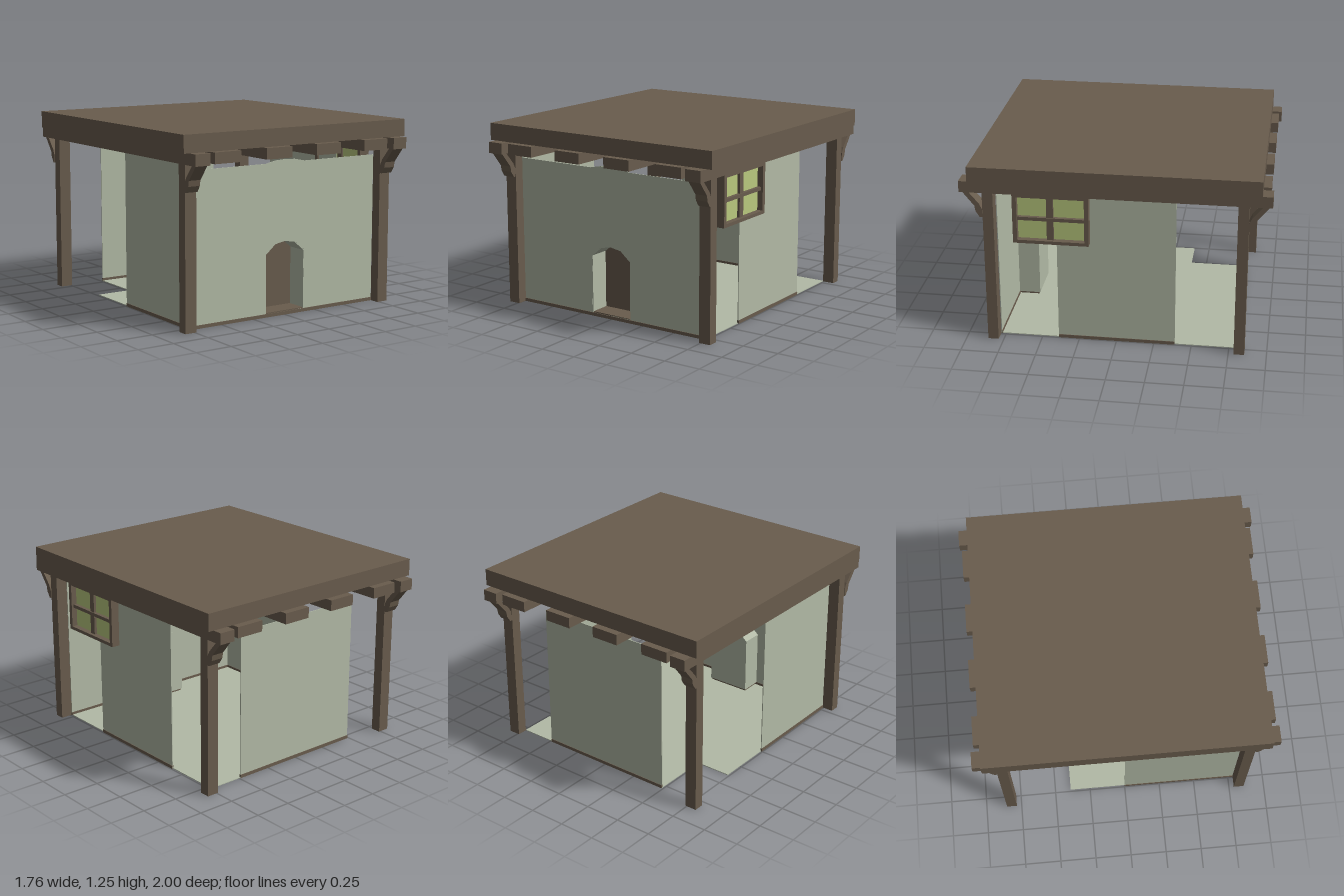
import * as THREE from 'three';

export function createModel() {
  const model = new THREE.Group();
  const mat = (name, color) => new THREE.MeshStandardMaterial({ name, color });
  const wood = mat('dark wood', 0x695c4d);
  const plaster = mat('sage plaster', 0xb2baa6);
  const glass = mat('yellow green glass', 0xbac97e);
  plaster.side = THREE.DoubleSide;

  const add = (name, geometry, material) => {
    const mesh = new THREE.Mesh(geometry, material);
    mesh.name = name;
    model.add(mesh);
    return mesh;
  };
  // Box given by its limits on each axis
  const box = (name, material, [x0, x1], [y0, y1], [z0, z1]) =>
    add(name, new THREE.BoxGeometry(x1 - x0, y1 - y0, z1 - z0), material)
      .position.set((x0 + x1) / 2, (y0 + y1) / 2, (z0 + z1) / 2);
  const shapeOf = (points) => new THREE.Shape(points.map(([x, y]) => new THREE.Vector2(x, y)));
  const extrude = (shape, depth) => new THREE.ExtrudeGeometry(shape, { depth, bevelEnabled: false });
  // Faceted arch outline, shrunk by an inset
  const arch = (i = 0) => {
    const w = 0.157 - i, h = 0.08 - i * 0.5;
    return [[-w, 0.02 + i], [w, 0.02 + i], [w, 0.418 - i * 0.5], [h, 0.483 - i],
      [0, 0.497 - i], [-h, 0.483 - i], [-w, 0.418 - i * 0.5]];
  };

  // Roof slab and rafters
  box('roof', wood, [-0.88, 0.88], [1.14, 1.255], [-0.935, 0.935]);
  for (const x of [-0.59, -0.197, 0.197, 0.59])
    box('rafter', wood, [x - 0.098, x + 0.098], [1.068, 1.14], [-0.983, 0.983]);

  // Side beams, posts and curved brackets
  const bracket = shapeOf([[0.985, 1.067], [0.945, 1.067], [0.875, 0.985], [0.855, 0.945],
    [0.855, 0.89], [0.872, 0.89], [0.898, 0.93], [0.905, 0.968]]);
  for (const sx of [-1, 1]) {
    const x = sx * 0.785;
    box('sideBeam', wood, [x - 0.055, x + 0.055], [1.065, 1.14], [-1, 1]);
    for (const sz of [-1, 1]) {
      const px = sx * 0.78, pz = sz * 0.82;
      box('post', wood, [px - 0.041, px + 0.041], [0, 1.066], [pz - 0.035, pz + 0.035]);
      const g = extrude(bracket, 0.085);
      g.translate(0, 0, -0.0425);
      g.rotateY(-sz * Math.PI / 2);
      add('bracket', g, wood).position.x = sx * 0.783;
    }
  }

  // Floor with one back corner cut away
  const floor = extrude(shapeOf([[-0.738, -0.78], [0.738, -0.78], [0.738, 0.785],
    [-0.49, 0.785], [-0.49, 0.39], [-0.738, 0.39]]), 0.005);
  floor.rotateX(-Math.PI / 2);
  add('floor', floor, plaster);

  // Front wall with arched opening and a low rise in its top edge
  const front = shapeOf([[-0.74, 0.004], [0.74, 0.004], [0.74, 1.01], [0.157, 1.01],
    [0.08, 1.026], [0, 1.031], [-0.08, 1.026], [-0.157, 1.01], [-0.74, 1.01]]);
  front.holes.push(shapeOf(arch()));
  add('frontWall', extrude(front, 0.005), plaster).position.z = 0.778;

  // Arched niche behind the opening
  const shell = shapeOf(arch());
  shell.holes.push(shapeOf(arch(0.005)));
  add('nicheShell', extrude(shell, 0.148), plaster).position.z = 0.634;
  add('nicheBack', extrude(shapeOf(arch()), 0.004), plaster).position.z = 0.631;
  add('nichePanel', extrude(shapeOf(arch(0.006)), 0.005), wood).position.z = 0.637;
  box('nicheSill', wood, [-0.15, 0.15], [0.006, 0.029], [0.64, 0.782]);

  // Back and side walls
  box('backWall', plaster, [-0.49, 0.49], [0.004, 1.01], [-0.785, -0.779]);
  box('rightSideWall', plaster, [0.736, 0.742], [0.004, 1.068], [-0.39, 0.39]);
  box('leftSideWall', plaster, [-0.742, -0.736], [0.004, 1.068], [0, 0.783]);

  // Skirting along each wall
  box('skirting', wood, [-0.74, 0.74], [0, 0.022], [0.774, 0.788]);
  box('skirting', wood, [-0.49, 0.49], [0, 0.022], [-0.789, -0.775]);
  box('skirting', wood, [0.732, 0.746], [0, 0.022], [-0.39, 0.39]);
  box('skirting', wood, [-0.746, -0.732], [0, 0.022], [0, 0.783]);

  // Window: frame, crossed bars and glass
  const depth = [0.722, 0.8];
  for (const [z0, z1] of [[0.17, 0.198], [0.638, 0.666]])
    box('windowJamb', wood, depth, [0.71, 1.052], [z0, z1]);
  for (const [y0, y1] of [[0.71, 0.732], [1.03, 1.052]])
    box('windowRail', wood, depth, [y0, y1], [0.198, 0.638]);
  box('windowMullion', wood, [0.738, 0.778], [0.732, 1.03], [0.403, 0.447]);
  box('windowCrossbar', wood, [0.734, 0.785], [0.866, 0.889], [0.198, 0.638]);
  box('windowGlass', glass, [0.754, 0.76], [0.732, 1.03], [0.198, 0.638]);

  return model;
}
